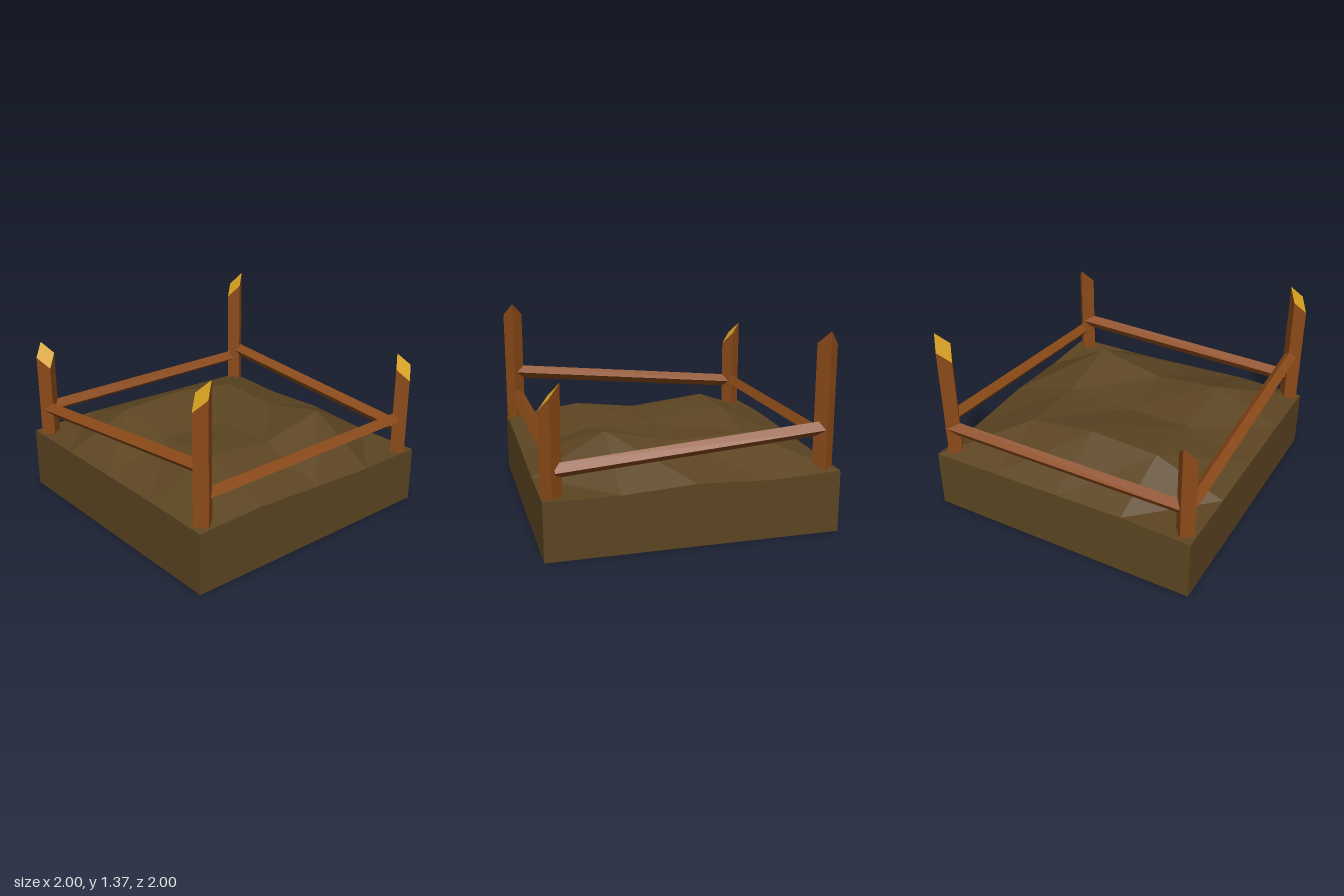
import * as THREE from 'three';

const material = (color, extra = {}) =>
  new THREE.MeshStandardMaterial({ color, flatShading: true, ...extra });

export function createModel() {
  const model = new THREE.Group();
  const soil = material(0x5c4522);
  const wood = material(0x8b4a18);
  const cutWood = material(0xd6a020, { side: THREE.DoubleSide });

  const add = (name, geometry, mat) => {
    geometry.computeVertexNormals();
    const mesh = new THREE.Mesh(geometry, mat);
    mesh.name = name;
    model.add(mesh);
    return mesh;
  };

  // Ground block with an uneven top: heights by row from back to front
  const heights = [
    [0.44, 0.46, 0.45, 0.44, 0.43],
    [0.44, 0.64, 0.66, 0.60, 0.41],
    [0.44, 0.57, 0.56, 0.575, 0.43],
    [0.44, 0.63, 0.575, 0.68, 0.40],
    [0.43, 0.445, 0.42, 0.40, 0.40],
  ];
  const ground = new THREE.BoxGeometry(2, 1, 2, 4, 1, 4);
  const gp = ground.attributes.position;
  for (let i = 0; i < gp.count; i++) {
    const col = Math.round((gp.getX(i) + 1) * 2);
    const row = Math.round((gp.getZ(i) + 1) * 2);
    gp.setY(i, gp.getY(i) > 0 ? heights[row][col] : 0);
  }
  add('ground', ground, soil);

  // Square corner posts, each cut off at the top by a sloping plane
  const posts = [
    { name: 'frontLeftPost', x: 0.91, z: 0.93, top: 1.04, dx: 0.2, dz: -1.2 },
    { name: 'frontRightPost', x: -0.92, z: 0.93, top: 1.28, dx: 1.25, dz: 0.1 },
    { name: 'backLeftPost', x: 0.91, z: -0.905, top: 1.28, dx: 1.3, dz: 0.2 },
    { name: 'backRightPost', x: -0.92, z: -0.905, top: 1.05, dx: 0.2, dz: -1.2 },
  ];
  for (const { name, x, z, top, dx, dz } of posts) {
    const slope = (geometry) => {
      geometry.rotateY(-0.1);
      const p = geometry.attributes.position;
      for (let i = 0; i < p.count; i++) {
        const y = p.getY(i) < 0 ? 0.3 : top + dx * p.getX(i) + dz * p.getZ(i);
        p.setY(i, y);
      }
      return geometry.translate(x, 0, z);
    };
    add(name, slope(new THREE.CylinderGeometry(0.07, 0.07, 1, 4, 1, true)), wood);
    const cap = new THREE.CircleGeometry(0.07, 4).rotateX(-Math.PI / 2).translate(0, 0.5, 0);
    add(name + 'CutTop', slope(cap), cutWood);
  }

  // Square rails set on edge, running from one post to the next
  const rails = [
    { name: 'frontRail', from: [-0.9, 0.63, 0.915], to: [0.9, 0.655, 0.915], twist: 0.2 },
    { name: 'backRail', from: [-0.93, 0.645, -0.91], to: [0.93, 0.65, -0.92], twist: 0.2 },
    { name: 'leftRail', from: [0.925, 0.715, -0.89], to: [0.925, 0.575, 0.91], twist: -0.1 },
    { name: 'rightRail', from: [-0.925, 0.635, -0.91], to: [-0.915, 0.82, 0.91], twist: 0 },
  ];
  for (const { name, from, to, twist } of rails) {
    const a = new THREE.Vector3(...from);
    const b = new THREE.Vector3(...to);
    const along = b.clone().sub(a);
    const bar = new THREE.CylinderGeometry(0.05, 0.05, along.length(), 4).rotateY(twist);
    const rail = add(name, bar, wood);
    rail.quaternion.setFromUnitVectors(new THREE.Vector3(0, 1, 0), along.normalize());
    rail.position.copy(a.add(b).multiplyScalar(0.5));
  }

  return model;
}
